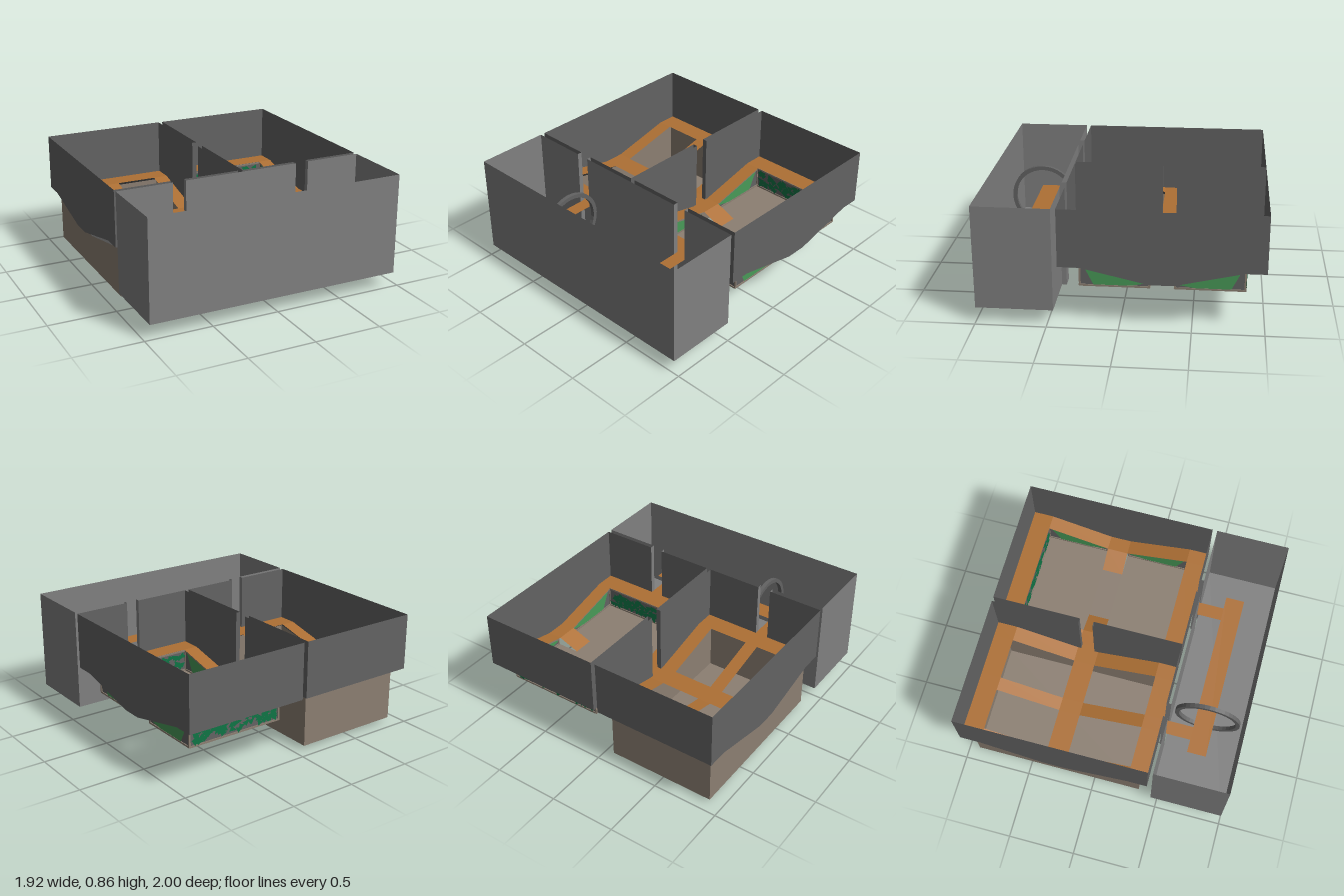
import * as THREE from 'three';

const TOP = 0.86, DECK = 0.44, LOW = 0.33, FLOOR = 0.11, GAP = 0.017;
const BREAKS = [0.42, 0.27, -0.21, -0.37, -0.85, -1];

const paint = color => new THREE.MeshStandardMaterial({ color, side: THREE.DoubleSide, flatShading: true });
const grey = paint(0x808080), darkGrey = paint(0x636363), wood = paint(0xae7034), tan = paint(0x8c7f72);
const green = paint(0x489a58), darkGreen = paint(0x0f7545);

// Height of the walkway, which dips in the middle of each room
function deckY(z) {
  if (z > 0.27 || z < -0.85) return DECK;
  if (z > -0.21) return LOW + (DECK - LOW) * (z + 0.21) / 0.48;
  if (z > -0.37) return LOW;
  return LOW + (DECK - LOW) * (-0.37 - z) / 0.48;
}

// Pairs of neighbouring z stations between z0 (front) and z1 (back)
function spans(z0, z1) {
  const zs = [z0, ...BREAKS.filter(z => z < z0 && z > z1), z1];
  return zs.slice(1).map((z, i) => [zs[i], z]);
}

// One mesh from a list of polygons with three or four corners
function surface(name, polys, material) {
  const pos = [];
  for (const [a, b, c, d] of polys) {
    pos.push(...a, ...b, ...c);
    if (d) pos.push(...a, ...c, ...d);
  }
  const g = new THREE.BufferGeometry();
  g.setAttribute('position', new THREE.Float32BufferAttribute(pos, 3));
  g.computeVertexNormals();
  const m = new THREE.Mesh(g, material);
  m.name = name;
  return m;
}

const flat = (x0, x1, z0, z1, y) => [[x0, y, z0], [x1, y, z0], [x1, y, z1], [x0, y, z1]];
const wallX = (x0, x1, z, y0, y1 = TOP) => [[x0, y0, z], [x1, y0, z], [x1, y1, z], [x0, y1, z]];
const wallZ = (x, z0, z1, y0, y1 = TOP) => [[x, y0, z0], [x, y0, z1], [x, y1, z1], [x, y1, z0]];
// Walkway strip facing up
const strip = (x0, x1, z0 = 0.42, z1 = -1) => spans(z0, z1).map(([a, b]) =>
  [[x0, deckY(a), a], [x1, deckY(a), a], [x1, deckY(b), b], [x0, deckY(b), b]]);
// Side wall whose lower edge follows the walkway
const dipWall = (x, z0, z1) => spans(z0, z1).map(([a, b]) =>
  [[x, deckY(a), a], [x, deckY(b), b], [x, TOP, b], [x, TOP, a]]);

// Thin square bar between two points
function bar(name, a, b, material, t = 0.013) {
  const p = new THREE.Vector3(...a), q = new THREE.Vector3(...b);
  const m = new THREE.Mesh(new THREE.BoxGeometry(t, t, p.distanceTo(q)), material);
  m.position.copy(p).add(q).multiplyScalar(0.5);
  m.lookAt(q);
  m.name = name;
  return m;
}

function rooms() {
  const g = new THREE.Group();
  g.name = 'rooms';
  // Two back rooms, mirrored, with doorway slots
  for (const s of [-1, 1]) {
    g.add(surface('backRoomWalls', [
      ...dipWall(s * 0.96, 0.42, -1),
      ...dipWall(s * GAP, 0.42, -0.24), ...dipWall(s * GAP, -0.345, -1),
      wallX(s * GAP, s * 0.96, -1, DECK),
      wallX(s * GAP, s * 0.44, 0.42, DECK), wallX(s * 0.54, s * 0.96, 0.42, DECK),
    ], darkGrey));
    g.add(surface('frontDoorJambs', [
      ...[0.44, 0.54].map(x => wallZ(s * x, 0.42, 0.455, FLOOR)),
      wallX(s * 0.44, s * 0.54, 0.42, FLOOR, DECK),
    ], grey));
  }
  g.add(surface('middleDoorJambs', [-0.24, -0.345].map(z => wallX(-GAP, GAP, z, LOW)), darkGrey));
  // Front room with its floor
  g.add(surface('frontRoom', [
    flat(-0.96, 0.96, 1, 0.455, FLOOR), wallX(-0.96, 0.96, 1, FLOOR),
    wallZ(-0.96, 1, 0.455, FLOOR), wallZ(0.96, 1, 0.455, FLOOR),
    wallX(-0.96, -0.54, 0.455, FLOOR), wallX(-0.44, 0.44, 0.455, FLOOR), wallX(0.54, 0.96, 0.455, FLOOR),
  ], grey));
  return g;
}

function walkways() {
  const g = new THREE.Group();
  g.name = 'walkways';
  const rows = [[0.42, 0.27], [-0.21, -0.37], [-0.85, -1]];
  g.add(surface('rightWalkway', [
    ...strip(-0.96, -0.85), ...strip(-0.54, -0.44), ...strip(-0.13, -GAP),
    ...rows.flatMap(([a, b]) => [...strip(-0.85, -0.54, a, b), ...strip(-0.44, -0.13, a, b)]),
  ], wood));
  g.add(surface('leftWalkway', [
    ...strip(GAP, 0.13), ...strip(0.85, 0.96),
    ...strip(0.13, 0.85, 0.42, 0.27), ...strip(0.13, 0.85, -0.85, -1),
  ], wood));
  g.add(surface('linkWalkway', [flat(-GAP, GAP, -0.24, -0.345, LOW)], wood));
  g.add(surface('frontWalkway', [
    flat(-0.54, -0.44, 0.64, 0.42, DECK), flat(0.44, 0.54, 0.64, 0.42, DECK),
    flat(-0.635, 0.635, 0.78, 0.64, DECK),
  ], wood));
  // Ramps down into the shallow pit
  g.add(surface('ramps', [
    [[0.13, LOW, -0.21], [0.29, 0.265, -0.21], [0.29, 0.265, -0.37], [0.13, LOW, -0.37]],
    [[0.69, 0.265, -0.21], [0.85, LOW, -0.21], [0.85, LOW, -0.37], [0.69, 0.265, -0.37]],
  ], wood));
  return g;
}

function deepPit() {
  const g = new THREE.Group();
  g.name = 'deepPit';
  const y0 = 0.03, zs = [0.35, -0.21, -0.37, -0.92], inner = [0.27, -0.21, -0.37, -0.85];
  const top = inner.map(z => deckY(z) - 0.04);
  const walls = [flat(-0.905, -0.08, 0.35, -0.92, y0),
    wallX(-0.905, -0.08, 0.35, y0, top[0]), wallX(-0.905, -0.08, -0.92, y0, top[3])];
  const skirt = [];
  // Long walls follow the dip; the skirt closes them to the walkway opening
  for (const [xo, xi] of [[-0.905, -0.85], [-0.08, -0.13]]) {
    for (let i = 0; i < 3; i++) {
      walls.push([[xo, y0, zs[i]], [xo, y0, zs[i + 1]], [xo, top[i + 1], zs[i + 1]], [xo, top[i], zs[i]]]);
      skirt.push([[xo, top[i], zs[i]], [xo, top[i + 1], zs[i + 1]],
        [xi, deckY(inner[i + 1]), inner[i + 1]], [xi, deckY(inner[i]), inner[i]]]);
    }
  }
  for (const i of [0, 3]) skirt.push([[-0.905, top[i], zs[i]], [-0.08, top[i], zs[i]],
    [-0.13, DECK, inner[i]], [-0.85, DECK, inner[i]]]);
  g.add(surface('pitBox', walls, tan), surface('pitSkirt', skirt, darkGrey));
  // Hollow feet
  for (const x of [-0.795, -0.493, -0.197]) {
    const a = x - 0.027, b = x + 0.027;
    g.add(surface('foot', [wallX(a, b, -0.25, 0, y0), wallX(a, b, -0.32, 0, y0),
      wallZ(a, -0.25, -0.32, 0, y0), wallZ(b, -0.25, -0.32, 0, y0)], grey));
  }
  return g;
}

function shallowPit() {
  const g = new THREE.Group();
  g.name = 'shallowPit';
  const y0 = 0.265, x0 = 0.115, x1 = 0.865;
  // Floor, notched where the ramps come down
  g.add(surface('pitFloor', [flat(x0, x1, 0.285, -0.21, y0),
    flat(0.29, 0.69, -0.21, -0.37, y0), flat(x0, x1, -0.37, -0.865, y0)], tan));
  // Side panels, mirrored about the middle in z and placed on both x sides
  for (const x of [x0, x1]) for (const m of [1, -1]) {
    const p = (z, y, o = 0) => [x + o, y, -0.29 + m * (z + 0.29)];
    g.add(surface('sidePanel', [[p(0.28, y0), p(-0.2, y0), p(-0.2, LOW), p(0.28, DECK)]], darkGrey));
    g.add(bar('frameTop', p(0.28, DECK - 0.012), p(-0.2, LOW - 0.012), tan),
      bar('frameBottom', p(0.28, y0 + 0.006), p(-0.2, y0 + 0.006), tan),
      bar('framePost', p(0.278, y0), p(0.278, DECK - 0.01), tan),
      bar('framePost', p(-0.2, y0), p(-0.2, LOW - 0.01), tan));
    for (const o of [-0.004, 0.004]) {
      g.add(surface('sidePlants', [
        [p(0.26, 0.43, o), p(0.18, 0.27, o), p(-0.03, 0.27, o), p(0, 0.37, o)],
        [p(-0.03, 0.27, o), p(-0.19, 0.3, o), p(-0.19, 0.32, o), p(0, 0.37, o)]], green));
    }
  }
  // End panels with scattered leaves on both faces
  let seed = 7;
  const rnd = () => (seed = (seed * 16807) % 2147483647) / 2147483647;
  for (const z of [0.28, -0.86]) {
    g.add(surface('endPanel', [wallX(x0, x1, z, y0, DECK)], darkGrey));
    for (const y of [y0 + 0.006, DECK - 0.012]) g.add(bar('frameRail', [x0, y, z], [x1, y, z], tan));
    const leaves = [];
    for (let i = 0; i < 180; i++) {
      const x = 0.15 + 0.68 * rnd(), y = 0.295 + 0.11 * rnd(), a = rnd() * 6.28;
      const zz = z + (i % 2 ? 0.008 : -0.008);
      leaves.push([0, 2.2, 4].map(t => [x + 0.035 * Math.cos(a + t), y + 0.028 * Math.sin(a + t), zz]));
    }
    g.add(surface('endLeaves', leaves, darkGreen));
  }
  return g;
}

// Upright ring around the front walkway
function ring() {
  const s = new THREE.Shape().absarc(0, 0, 0.245, 0, Math.PI * 2);
  s.holes.push(new THREE.Path().absarc(0, 0, 0.215, 0, Math.PI * 2, true));
  const m = new THREE.Mesh(new THREE.ExtrudeGeometry(s, { depth: 0.03, bevelEnabled: false, curveSegments: 20 }), darkGrey);
  m.rotation.y = Math.PI / 2;
  m.position.set(-0.363, 0.46, 0.725);
  m.name = 'ring';
  return m;
}

export function createModel() {
  const model = new THREE.Group();
  model.name = 'walkwayHall';
  model.add(rooms(), walkways(), deepPit(), shallowPit(), ring());
  return model;
}
